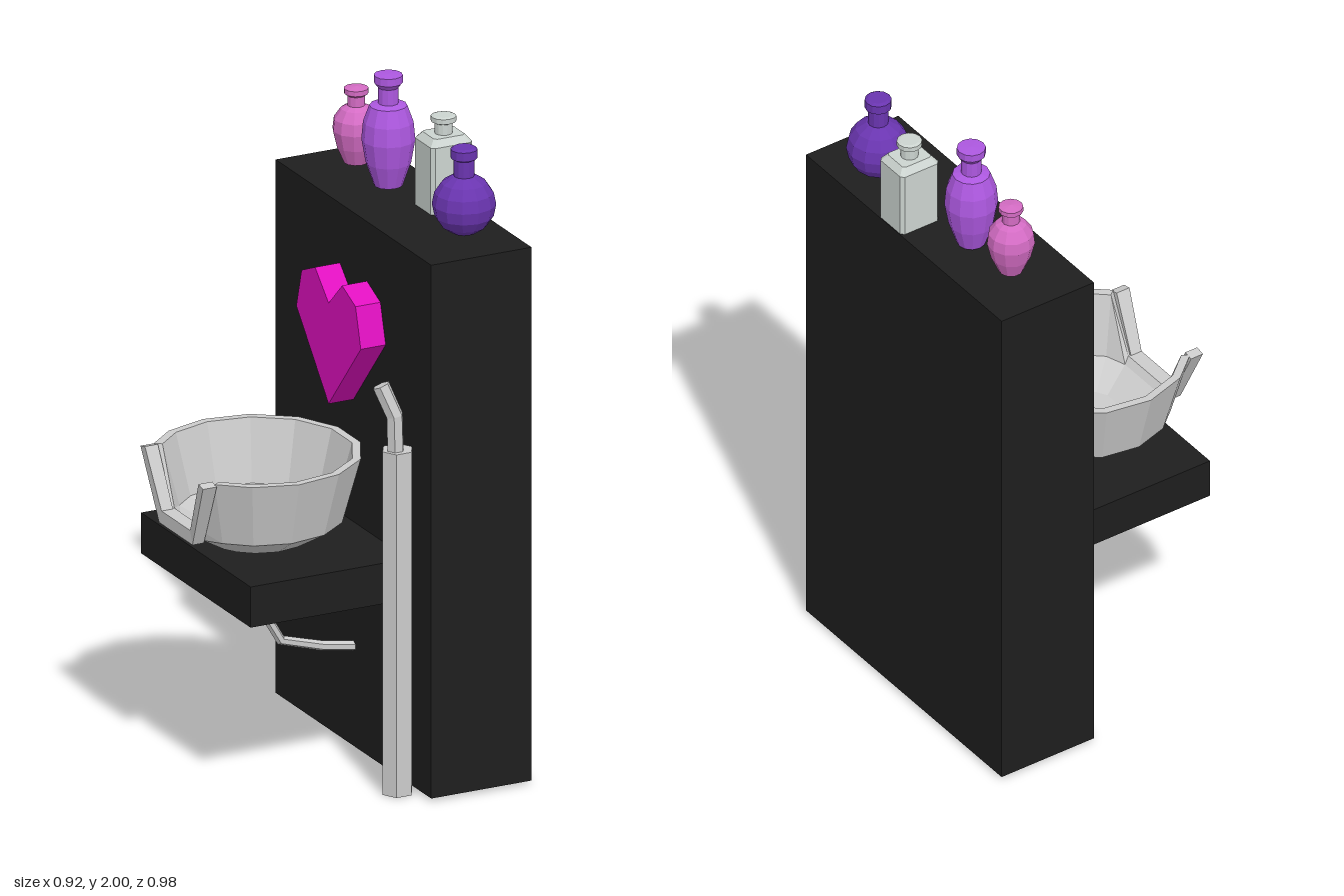
import * as THREE from 'three';

const V = (x, y, z) => new THREE.Vector3(x, y, z);
const mat = (color) => new THREE.MeshStandardMaterial({ color, flatShading: true });
const GREY = mat(0xcccccc), BLACK = mat(0x1e1e1e);

function add(parent, name, geometry, material, x = 0, y = 0, z = 0) {
  const mesh = new THREE.Mesh(geometry, material);
  mesh.name = name;
  mesh.position.set(x, y, z);
  parent.add(mesh);
  return mesh;
}

// Skins a row of equal rings and closes both ends at the ring centres
function loft(rings) {
  const capped = [rings[0], ...rings, rings[rings.length - 1]].map((ring, i, all) => {
    if (i > 0 && i < all.length - 1) return ring;
    const c = ring.reduce((s, p) => s.add(p), V(0, 0, 0)).divideScalar(ring.length);
    return ring.map(() => c);
  });
  const out = [];
  const tri = (a, b, c) => {
    if (a !== b && b !== c && a !== c) for (const p of [a, b, c]) out.push(p.x, p.y, p.z);
  };
  for (let i = 0; i < capped.length - 1; i++) {
    const lo = capped[i], hi = capped[i + 1], n = lo.length;
    for (let j = 0; j < n; j++) {
      const k = (j + 1) % n;
      tri(lo[j], hi[j], hi[k]);
      tri(lo[j], hi[k], lo[k]);
    }
  }
  const g = new THREE.BufferGeometry();
  g.setAttribute('position', new THREE.Float32BufferAttribute(out, 3));
  g.computeVertexNormals();
  return g;
}

// Faceted pipe with mitred bends along a few points
function pipe(points, r, sides) {
  return loft(points.map((p, i) => {
    const before = points[Math.max(i - 1, 0)], after = points[Math.min(i + 1, points.length - 1)];
    const t = V(0, 0, 0);
    if (i > 0) t.add(p.clone().sub(before).normalize());
    if (i < points.length - 1) t.add(after.clone().sub(p).normalize());
    t.normalize();
    const u = t.clone().cross(V(0, 0, 1)).normalize(), v = t.clone().cross(u);
    return Array.from({ length: sides }, (_, j) => {
      const a = (j / sides) * Math.PI * 2;
      return p.clone().addScaledVector(u, r * Math.cos(a)).addScaledVector(v, -r * Math.sin(a));
    });
  }));
}

function lathe(profile, sides) {
  return new THREE.LatheGeometry(profile.map(([r, y]) => new THREE.Vector2(r, y)), sides);
}

// Round basin whose rim dips at the neck notch
function basinGeometry() {
  const half = [13.3, 40, 67, 94, 120, 141, 157];
  const angles = [...half, ...half.map((a) => 360 - a).reverse()];
  const levels = [[0.15, 0.71], [0.25, 0.77], [0.305, 0.97], [0.28, 0.97], [0.23, 0.785], [0.127, 0.73]];
  const dipped = [[0.15, 0.71], [0.247, 0.765], [0.26, 0.8], [0.24, 0.8], [0.222, 0.78], [0.127, 0.73]];
  return loft(levels.map((level, i) => angles.map((deg) => {
    const [r, y] = Math.abs(deg - 180) < 30 ? dipped[i] : level;
    const a = THREE.MathUtils.degToRad(deg);
    return V(-0.18 + r * Math.cos(a), y, r * Math.sin(a));
  })));
}

// U-shaped trim around the notch
function neckRestGeometry() {
  // z outside, y outside, z inside, y inside, x back, x front
  const sections = [
    [-0.203, 0.965, -0.175, 0.972, -0.455, -0.413],
    [-0.105, 0.76, -0.09, 0.8, -0.445, -0.408],
    [0.105, 0.76, 0.09, 0.8, -0.445, -0.408],
    [0.2, 0.965, 0.172, 0.972, -0.46, -0.415],
  ];
  return loft(sections.map(([zo, yo, zi, yi, xb, xf]) =>
    [V(xf, yi, zi), V(xf, yo, zo), V(xb, yo, zo), V(xb, yi, zi)]));
}

function heartGeometry() {
  const right = [[0, 1.075], [0.203, 1.31], [0.17, 1.43], [0.085, 1.467], [0, 1.385]];
  const left = right.slice(1, 4).reverse().map(([z, y]) => [-z, y]);
  const shape = new THREE.Shape([...right, ...left].map(([z, y]) => new THREE.Vector2(z, y)));
  return new THREE.ExtrudeGeometry(shape, { depth: 0.09, bevelEnabled: false });
}

// Square bottle with chamfered shoulders and a round neck
function squareBottle() {
  const g = new THREE.Group();
  g.name = 'squareBottle';
  const glass = mat(0xccd4d0);
  const ring = (hx, hz, c, y) => [[hx, -hz + c], [hx, hz - c], [hx - c, hz], [-hx + c, hz],
    [-hx, hz - c], [-hx, -hz + c], [-hx + c, -hz], [hx - c, -hz]].map(([x, z]) => V(x, y, z));
  add(g, 'squareBottleBody', loft([
    ring(0.067, 0.059, 0.01, 0), ring(0.067, 0.059, 0.01, 0.205), ring(0.05, 0.043, 0.008, 0.226),
  ]), glass);
  add(g, 'squareBottleNeck',
    lathe([[0.026, 0.22], [0.026, 0.258], [0.037, 0.263], [0.037, 0.278], [0.028, 0.281], [0, 0.281]], 12), glass);
  return g;
}

export function createModel() {
  const model = new THREE.Group();
  model.name = 'washStation';

  // Cabinet wall and shelf
  add(model, 'cabinet', new THREE.BoxGeometry(0.325, 1.64, 0.98), BLACK, 0.293, 0.83, 0);
  add(model, 'shelf', new THREE.BoxGeometry(0.51, 0.125, 0.69), BLACK, -0.125, 0.637, 0);

  // Basin, neck rest and drain
  add(model, 'basin', basinGeometry(), GREY);
  add(model, 'neckRest', neckRestGeometry(), GREY);
  add(model, 'drainPipe', pipe(
    [V(-0.16, 0.6, 0), V(-0.16, 0.47, 0), V(-0.105, 0.375, 0), V(0.03, 0.335, 0), V(0.15, 0.315, 0)], 0.015, 6), GREY);

  // Stand with a bent spout
  add(model, 'pole', pipe([V(0.08, 0, 0.375), V(0.08, 1.055, 0.375)], 0.048, 6), GREY);
  add(model, 'spout', pipe([V(0.073, 1.04, 0.378), V(0.071, 1.16, 0.376), V(0.04, 1.25, 0.35)], 0.026, 6), GREY);

  // Heart ornament on the wall
  const heart = add(model, 'heart', heartGeometry(), mat(0xe010c0), 0.14, 0, 0);
  heart.rotation.y = -Math.PI / 2;

  // Bottles on top of the cabinet
  const sphere = Array.from({ length: 8 }, (_, i) => {
    const a = -Math.PI / 2 + (i / 8) * Math.PI;
    return [0.093 * Math.max(Math.cos(a), 0), 0.093 + 0.093 * Math.sin(a)];
  });
  const neck = [[0.03, 0.18], [0.03, 0.23], [0.039, 0.235], [0.039, 0.262], [0.03, 0.268], [0, 0.268]];
  add(model, 'roundBottle', lathe([...sphere, ...neck], 12), mat(0x6a35b0), 0.333, 1.65, 0.303);

  add(model, 'tallBottle', lathe([[0, 0.01], [0.042, 0.01], [0.066, 0.08], [0.078, 0.15], [0.073, 0.205],
    [0.055, 0.255], [0.03, 0.262], [0.03, 0.31], [0.042, 0.325], [0.042, 0.348], [0, 0.35]], 12),
  mat(0xad58e0), 0.313, 1.65, -0.135);

  add(model, 'urnBottle', lathe([[0, 0.02], [0.036, 0.02], [0.058, 0.07], [0.07, 0.12], [0.066, 0.155],
    [0.045, 0.185], [0.026, 0.195], [0.026, 0.225], [0.036, 0.232], [0.036, 0.247], [0, 0.252]], 11),
  mat(0xd46cc4), 0.305, 1.65, -0.322);

  const square = squareBottle();
  square.position.set(0.386, 1.65, 0.071);
  model.add(square);

  return model;
}
